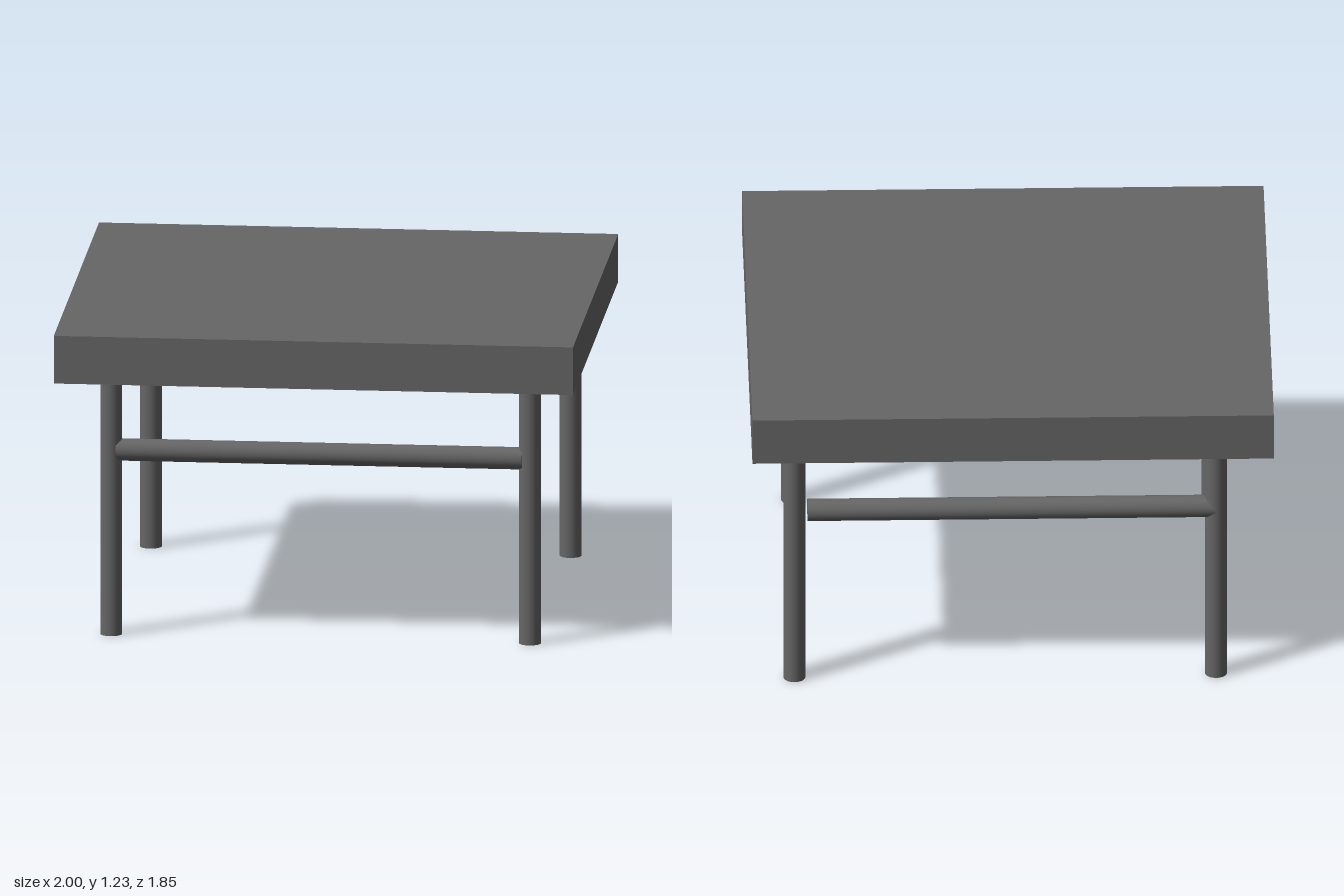
import * as THREE from 'three';

export function createModel() {
  const model = new THREE.Group();
  model.name = 'table';
  const grey = new THREE.MeshStandardMaterial({ color: 0x666666 });
  grey.name = 'dark grey';

  const height = 1.225, underside = 1.037;

  const add = (name, geometry, x, y, z) => {
    const mesh = new THREE.Mesh(geometry, grey);
    mesh.name = name;
    mesh.position.set(x, y, z);
    model.add(mesh);
    return mesh;
  };

  // Thick slab top
  add('tableTop', new THREE.BoxGeometry(2, height - underside, 1.85), 0, (height + underside) / 2, 0);

  // Round legs, the back pair set slightly to the left of the front pair
  const legGeometry = new THREE.CylinderGeometry(0.042, 0.042, underside, 40);
  const railGeometry = new THREE.CylinderGeometry(0.043, 0.043, 1.565, 40).rotateZ(Math.PI / 2);
  const pairs = [
    { side: 'front', z: 0.70, right: -0.80, left: 0.813 },
    { side: 'back', z: -0.73, right: -0.782, left: 0.835 },
  ];
  for (const { side, z, right, left } of pairs) {
    add(side + 'RightLeg', legGeometry, right, underside / 2, z);
    add(side + 'LeftLeg', legGeometry, left, underside / 2, z);
    // Cross rail joining the pair
    add(side + 'Rail', railGeometry, 0.0025, 0.728, z);
  }
  return model;
}
